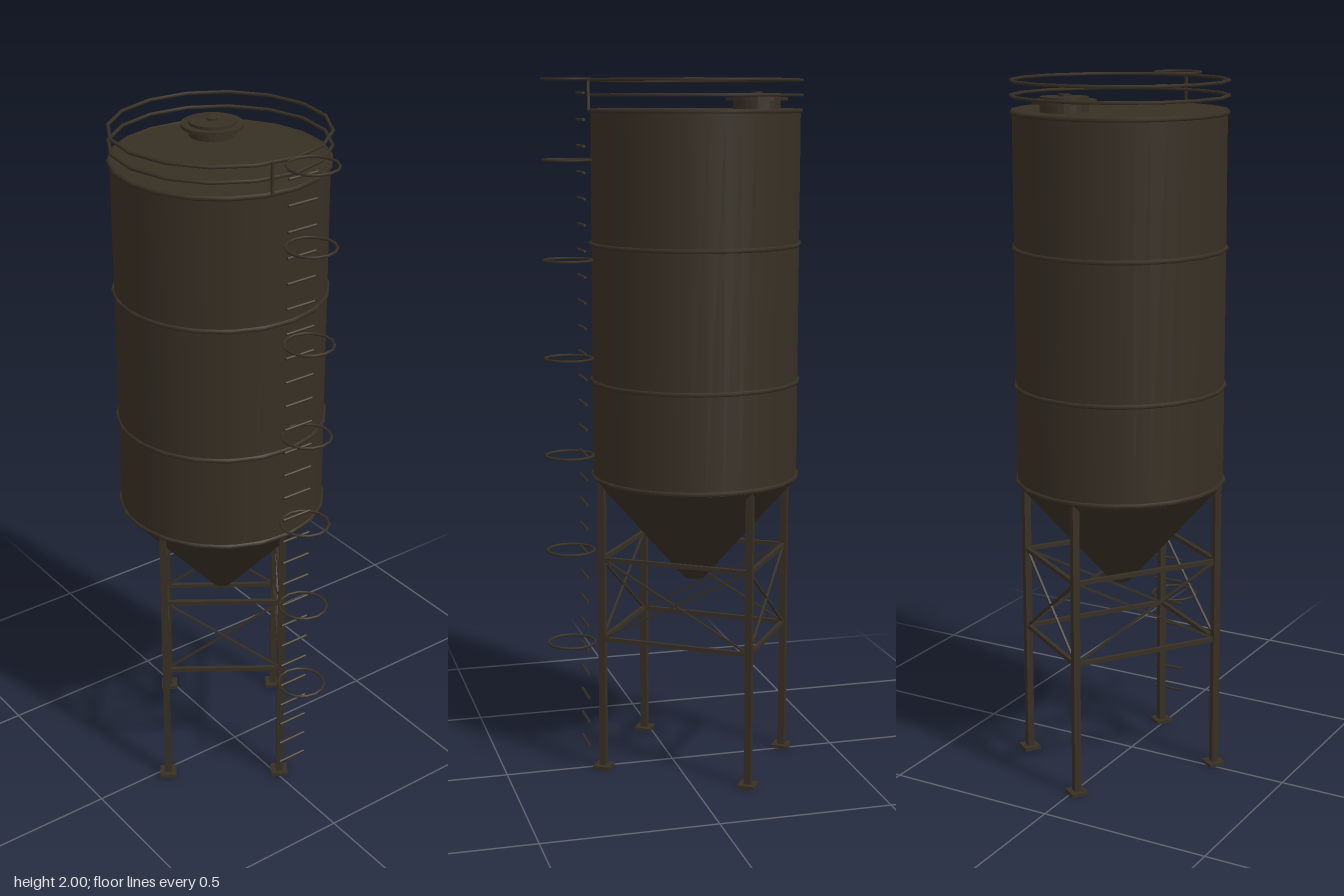
import * as THREE from 'three';

const CX = -0.067; // tank axis

export function createModel() {
  const model = new THREE.Group();
  model.name = 'silo';
  const steel = new THREE.MeshStandardMaterial({ color: 0x372f24 });
  steel.name = 'dark brown steel';

  const add = (name, geometry, x = 0, y = 0, z = 0, parent = model) => {
    const mesh = new THREE.Mesh(geometry, steel);
    mesh.name = name;
    mesh.position.set(x, y, z);
    parent.add(mesh);
    return mesh;
  };
  const group = (name) => {
    const g = new THREE.Group();
    g.name = name;
    model.add(g);
    return g;
  };
  // Horizontal ring of round bar
  const ring = (name, radius, tube, sides, x, y, z, parent, turn = 0) => {
    const geometry = new THREE.TorusGeometry(radius, tube, 6, sides);
    geometry.rotateX(Math.PI / 2).rotateY(turn);
    return add(name, geometry, x, y, z, parent);
  };
  // Square bar between two points
  const bar = (name, a, b, width, parent) => {
    const mesh = add(name, new THREE.BoxGeometry(width, width, a.distanceTo(b)), 0, 0, 0, parent);
    mesh.position.copy(a).lerp(b, 0.5);
    mesh.lookAt(b);
    return mesh;
  };

  // Tank body and discharge cone
  add('tankBody', new THREE.CylinderGeometry(0.295, 0.295, 1.05, 40), CX, 1.39, 0);
  add('dischargeCone', new THREE.CylinderGeometry(0.295, 0.03, 0.305, 40), CX, 0.7125, 0);

  // Bands around the tank
  const bands = group('tankBands');
  for (const y of [0.872, 1.15, 1.54, 1.91]) {
    ring('band', 0.296, 0.007, 20, CX, y, 0, bands, 0.08);
  }

  // Roof hatch: neck, flange, lid and knob in one profile
  const hatch = [
    [0.066, 1.91], [0.066, 1.938], [0.087, 1.938], [0.087, 1.948],
    [0.066, 1.948], [0.066, 1.956], [0.016, 1.957], [0.016, 1.963], [0, 1.963],
  ];
  // Repeated corner points keep the edges crisp
  const profile = hatch.flatMap(([r, y]) => [new THREE.Vector2(r, y), new THREE.Vector2(r, y)]);
  const hatchGeometry = new THREE.LatheGeometry(profile, 24).toNonIndexed();
  hatchGeometry.computeVertexNormals();
  add('roofHatch', hatchGeometry, -0.22, 0, -0.084);

  // Roof railing
  const railing = group('roofRailing');
  for (const y of [1.953, 1.994]) ring('rail', 0.298, 0.005, 16, CX, y, 0, railing, 0.08);
  add('railPost', new THREE.BoxGeometry(0.007, 0.085, 0.007), 0.229, 1.955, 0.05, railing);

  // Legs with foot plates
  const frame = group('supportFrame');
  const angles = [-2.7, 72.2, 177.3, 252.2].map(THREE.MathUtils.degToRad);
  const at = (i, y) => new THREE.Vector3(
    CX + 0.281 * Math.cos(angles[i % 4]), y, 0.281 * Math.sin(angles[i % 4]));
  angles.forEach((angle, i) => {
    const p = at(i, 0);
    const turn = Math.PI / 4 + 0.2;
    add('leg', new THREE.BoxGeometry(0.02, 0.87, 0.02), p.x, 0.435, p.z, frame).rotation.y = turn;
    add('footPlate', new THREE.BoxGeometry(0.05, 0.01, 0.05), p.x, 0.005, p.z, frame).rotation.y = turn;
    // Beams and cross braces to the next leg
    for (const y of [0.395, 0.635]) bar('beam', at(i, y), at(i + 1, y), 0.012, frame);
    bar('crossBrace', at(i, 0.395), at(i + 1, 0.635), 0.006, frame);
    bar('crossBrace', at(i, 0.635), at(i + 1, 0.395), 0.006, frame);
  });

  // Ladder rungs
  const ladder = group('ladder');
  const rung = new THREE.CylinderGeometry(0.004, 0.004, 0.092, 8).rotateX(Math.PI / 2);
  for (let i = 0; i < 27; i++) add('rung', rung, 0.267, 0.092 + i * 0.0718, -0.018, ladder);

  // Ladder safety hoops
  for (const y of [0.395, 0.67, 0.947, 1.225, 1.501, 1.777, 1.996]) {
    ring('safetyHoop', 0.068, 0.004, 14, 0.306, y, -0.018, ladder);
  }

  return model;
}
